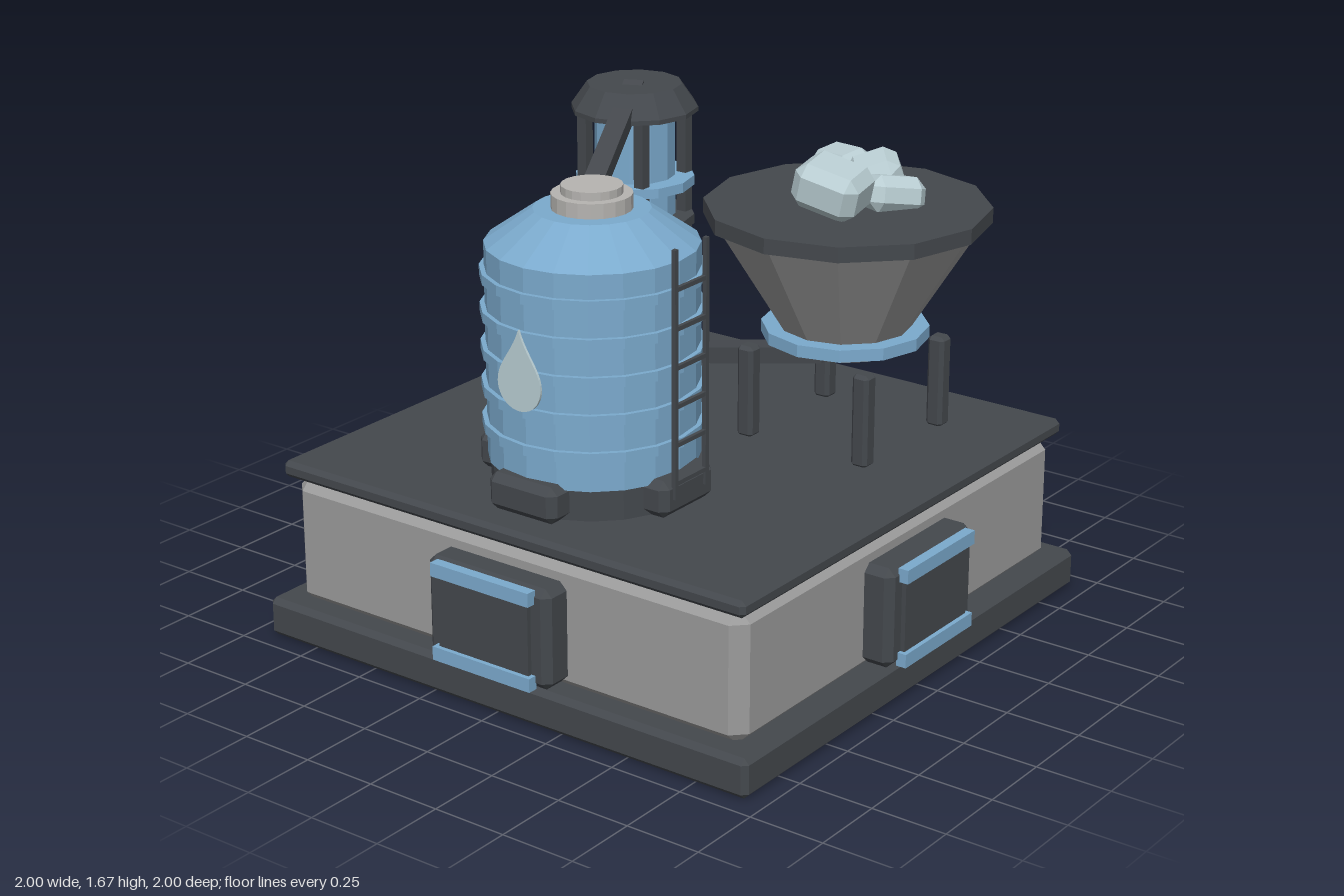
import * as THREE from 'three';
import { ConvexGeometry } from 'three/addons/geometries/ConvexGeometry.js';

const material = (name, color) => {
  const m = new THREE.MeshStandardMaterial({ color, flatShading: true });
  m.name = name;
  return m;
};

export function createModel() {
  const dark = material('dark steel', 0x44484d);
  const grey = material('grey casing', 0x9b9b9b);
  const pale = material('pale cap', 0xb6b4b1);
  const blue = material('blue paint', 0x7baacd);
  const ice = material('ice', 0xb9cdd2);

  const model = new THREE.Group();
  model.name = 'processingStation';

  const group = (name, x = 0, y = 0, z = 0, parent = model) => {
    const g = new THREE.Group();
    g.name = name;
    g.position.set(x, y, z);
    parent.add(g);
    return g;
  };
  const add = (parent, name, geometry, mat, x = 0, y = 0, z = 0) => {
    const m = new THREE.Mesh(geometry, mat);
    m.name = name;
    m.position.set(x, y, z);
    parent.add(m);
    return m;
  };
  const box = (w, h, d) => new THREE.BoxGeometry(w, h, d);

  // Box with every edge cut at 45 degrees
  const chamferBox = (w, h, d, c) => {
    const points = [];
    for (const sx of [-1, 1]) for (const sy of [-1, 1]) for (const sz of [-1, 1]) {
      const x = w / 2, y = h / 2, z = d / 2;
      points.push(
        new THREE.Vector3(sx * x, sy * (y - c), sz * (z - c)),
        new THREE.Vector3(sx * (x - c), sy * y, sz * (z - c)),
        new THREE.Vector3(sx * (x - c), sy * (y - c), sz * z));
    }
    return new ConvexGeometry(points);
  };
  // Cylinder or cone between two heights
  const drum = (parent, name, mat, rBottom, rTop, y0, y1, sides) =>
    add(parent, name, new THREE.CylinderGeometry(rTop, rBottom, y1 - y0, sides), mat, 0, (y0 + y1) / 2, 0);
  // Straight beam from one point to another
  const beam = (name, from, to, w, h) => {
    const a = new THREE.Vector3(...from), b = new THREE.Vector3(...to);
    const m = add(model, name, box(w, h, a.distanceTo(b)), dark);
    m.position.copy(a).lerp(b, 0.5);
    m.lookAt(b);
  };

  // Plinth, casing and deck
  add(model, 'plinth', chamferBox(1.88, 0.13, 1.88, 0.018), dark, 0, 0.065, 0);
  add(model, 'casing', chamferBox(1.75, 0.44, 1.75, 0.045), grey, 0, 0.33, 0);
  add(model, 'deck', chamferBox(1.79, 0.055, 1.79, 0.015), dark, 0, 0.5725, 0);

  // One hatch on each side
  for (let i = 0; i < 4; i++) {
    const hatch = group('hatch');
    hatch.rotation.y = i * Math.PI / 2;
    add(hatch, 'hatchFrame', chamferBox(0.475, 0.33, 0.12, 0.025), dark, 0, 0.312, 0.91);
    add(hatch, 'hatchPanel', box(0.35, 0.24, 0.02), dark, 0, 0.312, 0.975);
    for (const y of [0.173, 0.452])
      add(hatch, 'hatchBar', box(0.38, 0.045, 0.035), blue, 0, y, 0.9825);
  }

  // Storage tank
  const tank = group('tank', 0, 0, 0.435);
  drum(tank, 'tankBase', dark, 0.32, 0.32, 0.6, 0.715, 20);
  for (let i = 0; i < 4; i++) {
    const a = i * Math.PI / 2;
    const foot = add(tank, 'tankFoot', chamferBox(0.26, 0.12, 0.22, 0.025), dark,
      Math.sin(a) * 0.26, 0.66, Math.cos(a) * 0.26);
    foot.rotation.y = a;
  }
  drum(tank, 'tankWall', blue, 0.33, 0.33, 0.7, 1.385, 20);
  drum(tank, 'tankShoulder', blue, 0.33, 0.18, 1.385, 1.49, 20);
  for (let i = 0; i < 5; i++) {
    const y = 0.813 + i * 0.12;
    drum(tank, 'tankBand', blue, 0.345, 0.345, y - 0.016, y + 0.016, 20);
  }
  drum(tank, 'capLower', pale, 0.125, 0.125, 1.485, 1.537, 20);
  drum(tank, 'capUpper', pale, 0.095, 0.095, 1.535, 1.563, 20);

  // Water drop plates on the front and back of the tank
  const drop = new THREE.Shape();
  drop.moveTo(0, 0.175);
  drop.bezierCurveTo(-0.025, 0.1, -0.082, 0.06, -0.082, 0);
  drop.absarc(0, 0, 0.082, Math.PI, Math.PI * 2, false);
  drop.bezierCurveTo(0.082, 0.06, 0.025, 0.1, 0, 0.175);
  const dropGeo = new THREE.ExtrudeGeometry(drop, { depth: 0.008, bevelEnabled: false, curveSegments: 10 });
  for (const turn of [0, Math.PI]) {
    const side = group('dropSide', 0, 0, 0, tank);
    side.rotation.y = turn;
    add(side, 'waterDrop', dropGeo, ice, 0, 1.025, 0.35);
  }

  // Ladder on the left of the tank
  const ladder = group('ladder', 0.372, 0, 0.44);
  for (const z of [-0.077, 0.077])
    add(ladder, 'ladderRail', box(0.014, 0.79, 0.016), dark, 0, 1.055, z);
  for (let i = 0; i < 6; i++)
    add(ladder, 'ladderRung', box(0.012, 0.014, 0.15), dark, 0, 0.71 + i * 0.123, 0);

  // Filter column with posts and alternating rings
  const column = group('filterColumn', -0.375, 0, -0.265);
  drum(column, 'columnBase', dark, 0.217, 0.217, 0.6, 0.72, 12);
  drum(column, 'columnCore', blue, 0.132, 0.132, 0.7, 1.56, 12);
  for (const x of [-0.115, 0.115]) for (const z of [-0.115, 0.115])
    add(column, 'columnPost', box(0.036, 0.9, 0.036), dark, x, 1.14, z);
  for (let i = 0; i < 5; i++) {
    const y = 0.815 + i * 0.132;
    drum(column, 'columnRing', i % 2 ? dark : blue, 0.195, 0.195, y - 0.016, y + 0.016, 12);
  }
  drum(column, 'columnCapRim', dark, 0.207, 0.207, 1.575, 1.59, 12);
  drum(column, 'columnCap', dark, 0.207, 0.155, 1.59, 1.665, 12);

  // Chutes joining the column to the tank and the hopper
  beam('upperChute', [-0.375, 1.65, -0.265], [-0.115, 1.475, 0.295], 0.065, 0.05);
  beam('lowerChute', [-0.34, 0.745, -0.27], [0.3, 0.85, -0.39], 0.08, 0.055);

  // Hopper on four legs
  const hopper = group('hopper', 0.37, 0, -0.395);
  drum(hopper, 'hopperRim', dark, 0.458, 0.458, 1.315, 1.365, 12);
  drum(hopper, 'hopperCone', grey, 0.165, 0.435, 0.885, 1.315, 12);
  drum(hopper, 'hopperCollar', blue, 0.27, 0.27, 0.925, 0.965, 12);
  for (const x of [-0.22, 0.22]) for (const z of [-0.22, 0.22])
    add(hopper, 'hopperLeg', chamferBox(0.06, 0.31, 0.06, 0.012), dark, x, 0.75, z);

  // Ice lumps: position, size, rotation
  const lumps = [
    [[0.40, 1.455, -0.265], [0.22, 0.15, 0.19], [0.1, 0.15, -0.25]],
    [[0.245, 1.42, -0.55], [0.19, 0.13, 0.15], [0.15, -0.25, 0.1]],
    [[0.395, 1.43, -0.515], [0.17, 0.13, 0.16], [0.3, 0.7, 0.15]],
    [[0.50, 1.40, -0.455], [0.13, 0.12, 0.2], [-0.2, -0.5, 0.1]],
    [[0.285, 1.395, -0.385], [0.17, 0.11, 0.14], [0.1, 0.1, 0.2]],
  ];
  for (const [p, s, r] of lumps)
    add(model, 'iceLump', chamferBox(...s, 0.035), ice, ...p).rotation.set(...r);

  return model;
}
